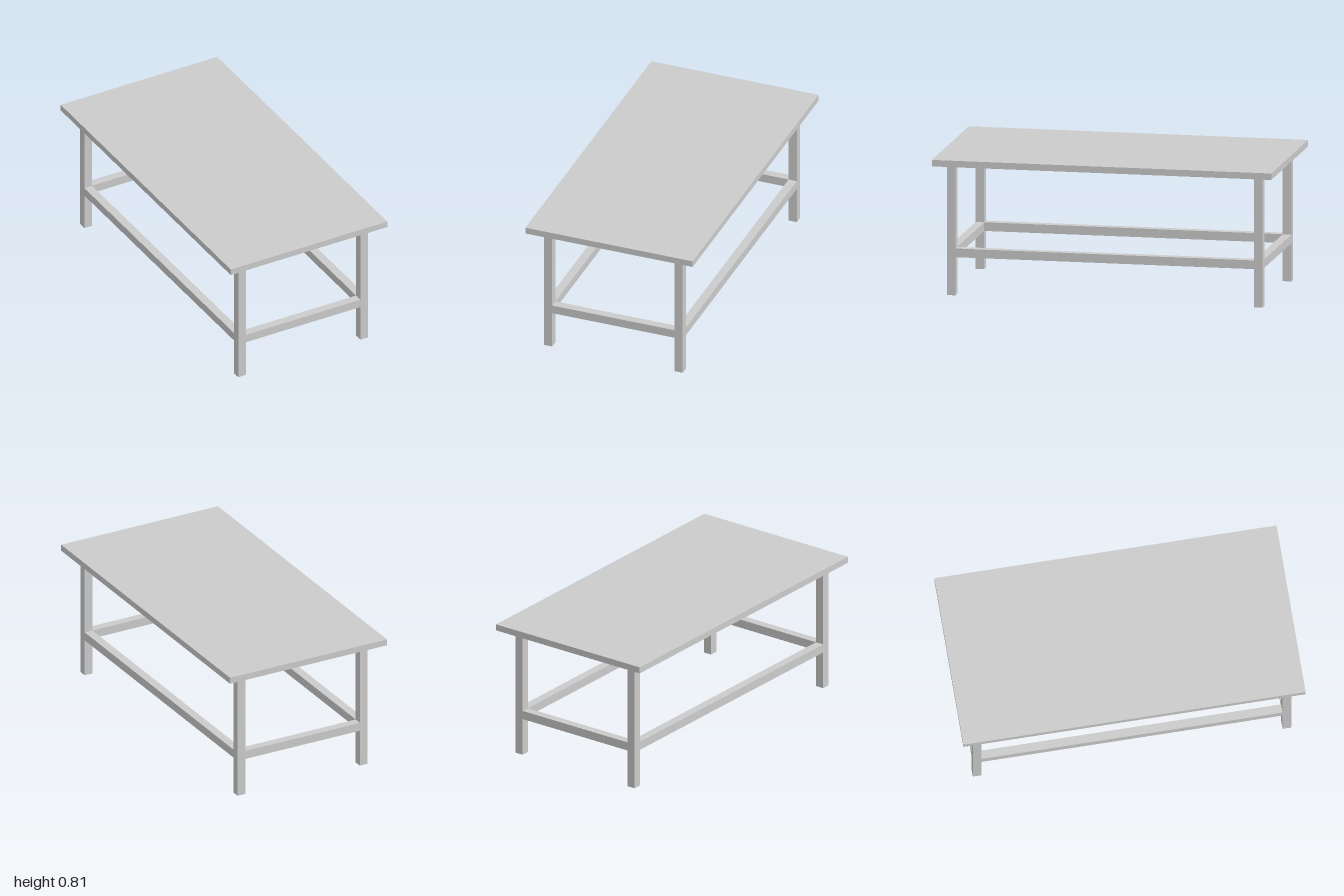
import * as THREE from 'three';

export function createModel() {
  const table = new THREE.Group();
  table.name = 'table';
  const material = new THREE.MeshStandardMaterial({ color: 0xcccccc, flatShading: true });

  const addBox = (name, [w, h, d], [x, y, z]) => {
    const mesh = new THREE.Mesh(new THREE.BoxGeometry(w, h, d), material);
    mesh.name = name;
    mesh.position.set(x, y, z);
    table.add(mesh);
  };

  const beam = 0.051;               // square section of legs and rails
  const legX = 0.404, legZ = 0.905; // leg centres
  const legHeight = 0.77, topThickness = 0.038, railY = 0.25;

  // Table top
  addBox('tableTop', [1.036, topThickness, 2], [0, legHeight + topThickness / 2, 0]);

  for (const side of [-1, 1]) {
    const sideName = side > 0 ? 'left' : 'right';

    // Corner legs
    for (const end of [-1, 1]) {
      const endName = end > 0 ? 'Front' : 'Back';
      addBox(`${sideName}${endName}Leg`, [beam, legHeight, beam], [side * legX, legHeight / 2, end * legZ]);
    }

    // Stretcher rails running between the legs
    addBox(`${sideName}Rail`, [beam, beam, 2 * legZ - beam], [side * legX, railY, 0]);
    addBox(side > 0 ? 'frontRail' : 'backRail', [2 * legX - beam, beam, beam], [0, railY, side * legZ]);
  }

  return table;
}
